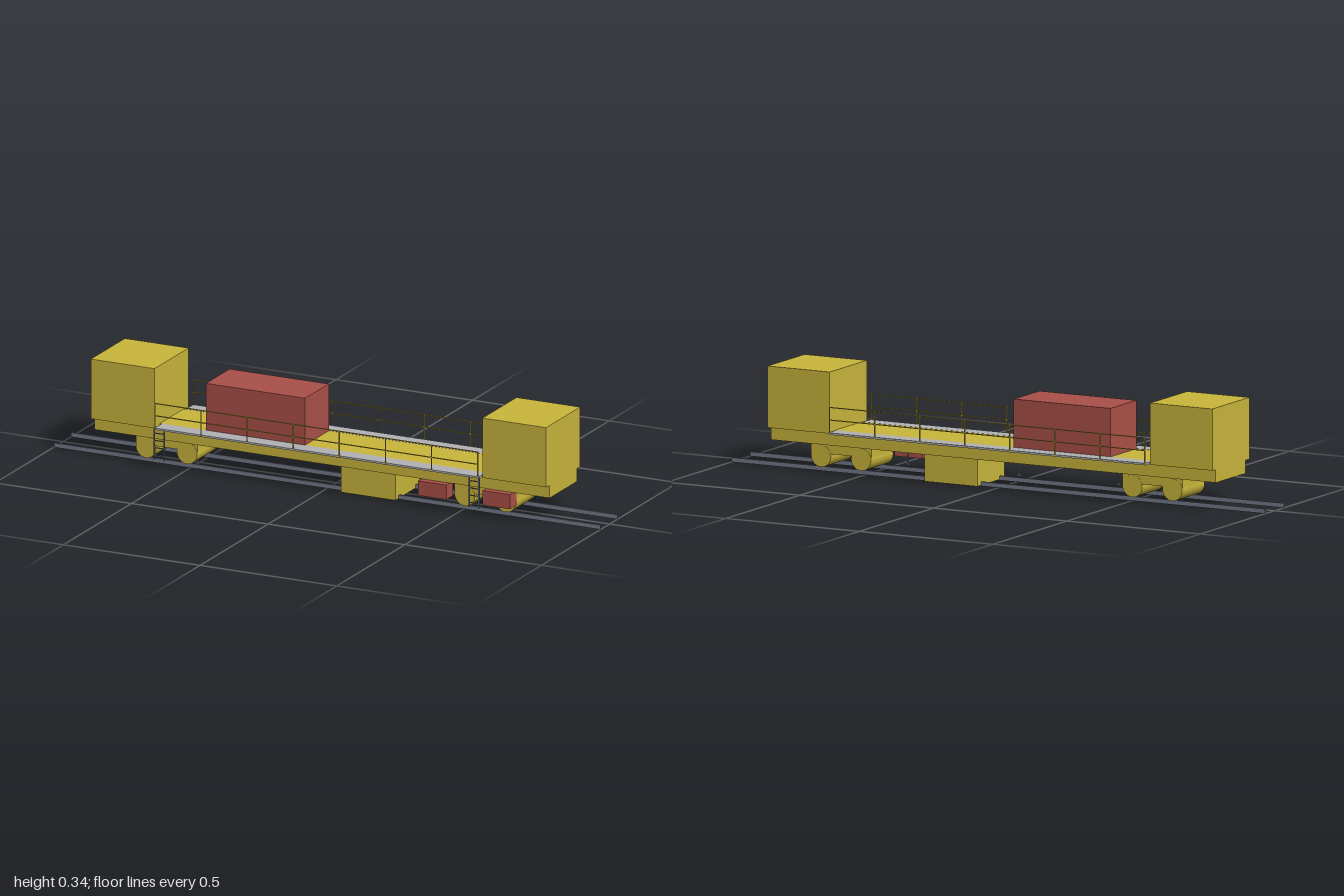
import * as THREE from 'three';

export function createModel() {
  const model = new THREE.Group();
  const mat = (name, color) => {
    const m = new THREE.MeshStandardMaterial({ color });
    m.name = name;
    return m;
  };
  const yellow = mat('yellow paint', 0xc9b53b);
  const red = mat('red paint', 0xaa5049);
  const grey = mat('walkway grey', 0xb2b2b4);
  const steel = mat('steel grey', 0x727987);

  // Box given by its limits on each axis
  const box = (name, m, x0, x1, y0, y1, z0, z1, parent = model) => {
    const mesh = new THREE.Mesh(new THREE.BoxGeometry(x1 - x0, y1 - y0, z1 - z0), m);
    mesh.position.set((x0 + x1) / 2, (y0 + y1) / 2, (z0 + z1) / 2);
    mesh.name = name;
    parent.add(mesh);
    return mesh;
  };
  const group = (name) => {
    const g = new THREE.Group();
    g.name = name;
    model.add(g);
    return g;
  };

  // Track
  for (const z of [-0.06, 0.065]) box('trackRail', steel, -1, 1, 0, 0.015, z - 0.003, z + 0.003);

  // Underframe, deck and end cabs
  box('frame', yellow, -0.834, 0.831, 0.094, 0.138, -0.098, 0.102);
  box('deck', yellow, -0.602, 0.598, 0.138, 0.144, -0.088, 0.088);
  box('rightCab', yellow, -0.835, -0.602, 0.138, 0.343, -0.123, 0.127);
  box('leftCab', yellow, 0.598, 0.831, 0.138, 0.343, -0.123, 0.127);

  // Machinery on and under the deck
  box('machineHousing', red, -0.434, -0.071, 0.144, 0.305, -0.087, 0.087);
  box('underTank', yellow, 0.064, 0.262, 0.003, 0.094, -0.089, 0.093);
  for (const [a, b] of [[0.362, 0.466], [0.598, 0.698]]) {
    box('equipmentBox', red, a, b, 0.044, 0.094, 0.077, 0.127);
    box('equipmentBracket', steel, a + 0.01, b - 0.01, 0.06, 0.094, 0.07, 0.077);
  }

  // Bogies with two full-width rollers each
  for (const s of [-1, 1]) {
    const bogie = group(s < 0 ? 'rightBogie' : 'leftBogie');
    const cx = s * 0.583;
    box('bogieFrame', yellow, cx - 0.113, cx + 0.113, 0.06, 0.094, -0.073, 0.076, bogie);
    for (const dx of [-0.075, 0.075]) {
      const wheel = new THREE.Mesh(new THREE.CylinderGeometry(0.037, 0.037, 0.151, 32), yellow);
      wheel.rotation.x = Math.PI / 2;
      wheel.position.set(cx + dx, 0.0515, 0.0015);
      wheel.name = 'wheelset';
      bogie.add(wheel);
    }
  }

  // Walkways with handrails on both sides
  for (const s of [-1, 1]) {
    const side = group(s < 0 ? 'backWalkway' : 'frontWalkway');
    const z = s * 0.142;
    box('walkway', grey, -0.594, 0.592, 0.138, 0.1445, Math.min(s * 0.088, z), Math.max(s * 0.088, z), side);
    for (const y of [0.187, 0.229])
      box('handrail', yellow, -0.594, 0.59, y - 0.0015, y + 0.0015, z - 0.0015, z + 0.0015, side);
    for (let i = 0; i < 8; i++) {
      const x = -0.593 + i * 0.1687;
      box('railPost', yellow, x - 0.0015, x + 0.0015, 0.138, 0.229, z - 0.0015, z + 0.0015, side);
    }
  }

  // Access ladders on the front side
  for (const cx of [-0.578, 0.574]) {
    const ladder = group('ladder');
    for (const dx of [-0.018, 0.018])
      box('stile', steel, cx + dx - 0.002, cx + dx + 0.002, 0.036, 0.143, 0.138, 0.142, ladder);
    for (let i = 0; i < 4; i++)
      box('rung', steel, cx - 0.018, cx + 0.018, 0.05 + i * 0.025, 0.053 + i * 0.025, 0.1385, 0.1415, ladder);
  }

  // Hanging supports with round feet along the back
  for (const x of [-0.46, -0.088, 0.329]) {
    const hanger = group('hanger');
    box('hangerPost', steel, x - 0.002, x + 0.002, 0.053, 0.094, -0.084, -0.08, hanger);
    const foot = new THREE.Mesh(new THREE.CylinderGeometry(0.01, 0.01, 0.004, 16), steel);
    foot.position.set(x, 0.054, -0.082);
    foot.name = 'hangerFoot';
    hanger.add(foot);
  }

  return model;
}
